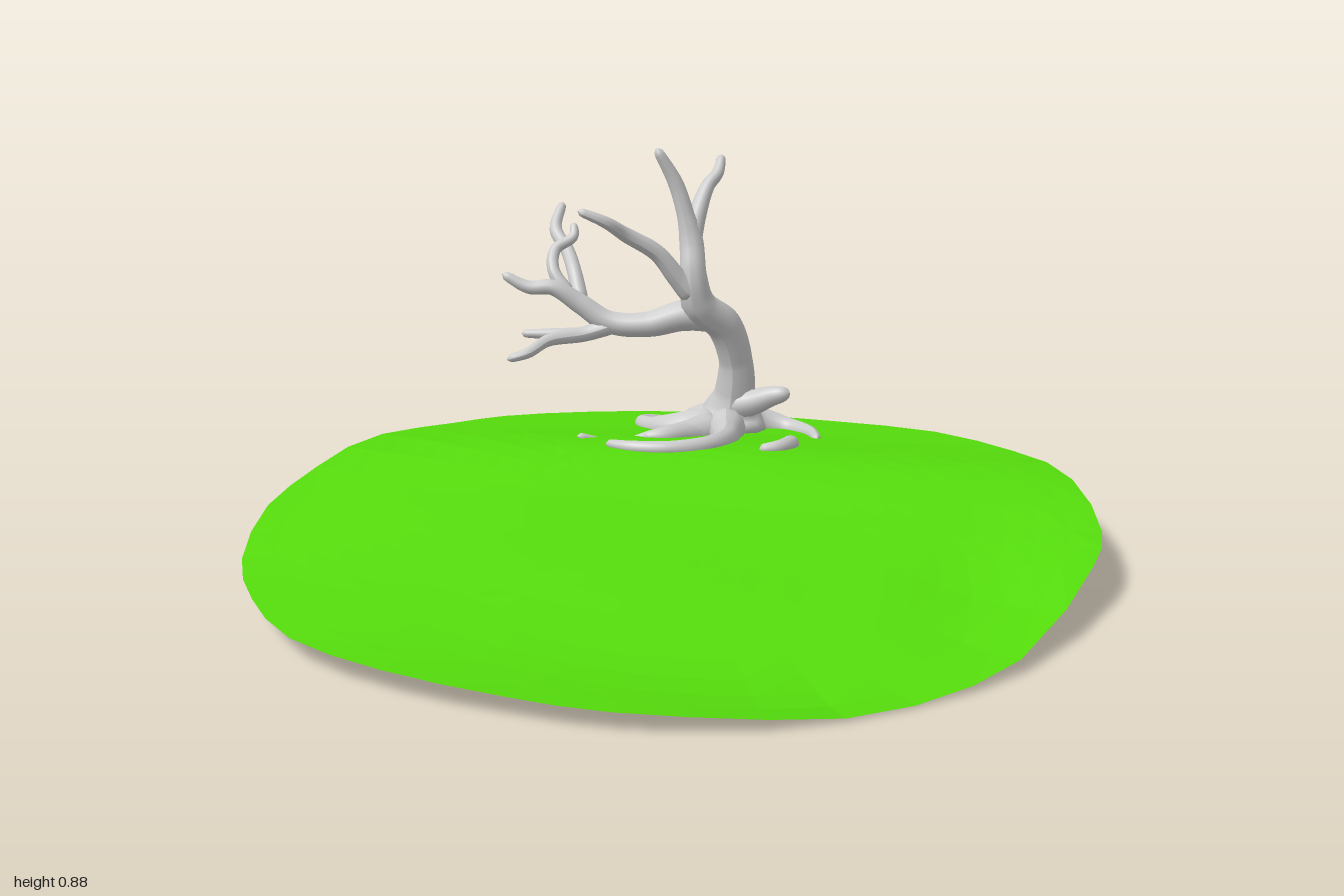
import * as THREE from 'three';

const bark = new THREE.MeshStandardMaterial({ color: 0xcccccc, side: THREE.DoubleSide });
const grass = new THREE.MeshStandardMaterial({ color: 0x55dc0c, flatShading: true, side: THREE.DoubleSide });

// Ground relief: heights on a coarse grid, smoothly interpolated
const gridX = [-0.9, -0.4, 0, 0.5, 0.72, 0.92];
const gridZ = [-1, -0.7, -0.35, 0, 0.4, 0.8, 1];
const heights = [
  [0.11, 0.11, 0.11, 0.11, 0.11, 0.11],
  [0.12, 0.125, 0.13, 0.125, 0.12, 0.12],
  [0.14, 0.16, 0.165, 0.155, 0.15, 0.14],
  [0.10, 0.12, 0.12, 0.115, 0.105, 0.11],
  [0.05, 0.08, 0.085, 0.05, 0.03, 0.075],
  [0.04, 0.05, 0.03, 0.0, 0.015, 0.04],
  [0.04, 0.05, 0.04, 0.03, 0.03, 0.03],
];
const interpolate = (xs, ys, t) => new THREE.CubicInterpolant(xs, ys, 1).evaluate(t)[0];
const groundHeight = (x, z) =>
  Math.max(0, interpolate(gridZ, heights.map((row) => interpolate(gridX, row, x)), z));

// Irregular rim of the ground, as x, z
const rim = [
  [-0.1, -1], [0.05, -0.985], [0.25, -0.95], [0.53, -0.87], [0.74, -0.67], [0.88, -0.34], [0.94, -0.02],
  [0.92, 0.17], [0.78, 0.57], [0.6, 0.78], [0.36, 0.94], [0.1, 1], [-0.1, 0.98], [-0.35, 0.92],
  [-0.58, 0.8], [-0.75, 0.6], [-0.88, 0.37], [-0.95, 0.08], [-0.93, -0.16], [-0.87, -0.45],
  [-0.75, -0.68], [-0.65, -0.81], [-0.45, -0.92], [-0.25, -0.98],
];

function createGround() {
  const rings = 14, sides = rim.length * 2;
  const curve = new THREE.CatmullRomCurve3(rim.map(([x, z]) => new THREE.Vector3(x, 0, z)), true);
  const edge = Array.from({ length: sides }, (_, j) => curve.getPoint(j / sides));
  const positions = [], index = [];
  for (let i = 0; i <= rings; i++) {
    for (const p of edge) {
      const x = (p.x * i) / rings, z = (p.z * i) / rings;
      positions.push(x, groundHeight(x, z), z);
    }
  }
  for (let i = 0; i < rings; i++) {
    for (let j = 0; j < sides; j++) {
      const k = (j + 1) % sides;
      const a = i * sides + j, b = i * sides + k, c = a + sides, d = b + sides;
      index.push(a, d, c);
      if (i > 0) index.push(a, b, d);
    }
  }
  const geometry = new THREE.BufferGeometry();
  geometry.setAttribute('position', new THREE.Float32BufferAttribute(positions, 3));
  geometry.setIndex(index);
  geometry.computeVertexNormals();
  const mesh = new THREE.Mesh(geometry, grass);
  mesh.name = 'ground';
  return mesh;
}

// Tapering limb through points [x, y, z, radius], rounded at both ends
function limb(name, points) {
  const curve = new THREE.CatmullRomCurve3(points.map(([x, y, z]) => new THREE.Vector3(x, y, z)));
  const segments = points.length * 7, sides = 12;
  const geometry = new THREE.TubeGeometry(curve, segments, 1, sides);
  const length = curve.getLength();
  const pos = geometry.attributes.position, v = new THREE.Vector3();
  const endRound = (distance, r) => {
    const s = Math.min(1, distance / r);
    return Math.sqrt(1 - (1 - s) ** 2);
  };
  for (let i = 0; i <= segments; i++) {
    const u = i / segments, t = curve.getUtoTmapping(u) * (points.length - 1);
    const k = Math.min(Math.floor(t), points.length - 2);
    let r = THREE.MathUtils.lerp(points[k][3], points[k + 1][3], t - k);
    r *= endRound((1 - u) * length, r * 1.5) * endRound(u * length, points[0][3]);
    const centre = curve.getPointAt(u);
    for (let j = 0; j <= sides; j++) {
      const n = i * (sides + 1) + j;
      v.fromBufferAttribute(pos, n).sub(centre).multiplyScalar(r).add(centre);
      pos.setXYZ(n, v.x, v.y, v.z);
    }
  }
  geometry.computeVertexNormals();
  const mesh = new THREE.Mesh(geometry, bark);
  mesh.name = name;
  return mesh;
}

// Root following the ground: points [x, z, lift above ground, radius]
const root = (points) =>
  limb('root', points.map(([x, z, lift, r]) => [x, groundHeight(x, z) + lift, z, r]));

export function createModel() {
  const model = new THREE.Group();
  model.add(createGround());

  const tree = new THREE.Group();
  tree.name = 'tree';
  model.add(tree);

  // Leaning trunk with a flared foot
  tree.add(limb('trunk', [
    [-0.01, 0.1, -0.75, 0.07], [-0.005, 0.14, -0.75, 0.105], [0, 0.175, -0.75, 0.08], [0.01, 0.23, -0.735, 0.055],
    [0.015, 0.32, -0.712, 0.045], [-0.01, 0.42, -0.67, 0.046], [-0.065, 0.48, -0.615, 0.045], [-0.075, 0.56, -0.595, 0.034],
    [-0.085, 0.64, -0.615, 0.032], [-0.1, 0.71, -0.615, 0.023], [-0.125, 0.79, -0.61, 0.02], [-0.17, 0.88, -0.585, 0.012],
  ]));

  // Upper branches
  tree.add(limb('upperBranch', [
    [-0.085, 0.63, -0.61, 0.026], [-0.075, 0.71, -0.645, 0.024], [-0.055, 0.78, -0.685, 0.018],
    [-0.035, 0.81, -0.71, 0.016], [-0.03, 0.855, -0.74, 0.011],
  ]));
  tree.add(limb('upperBranch', [
    [-0.07, 0.5, -0.6, 0.035], [-0.11, 0.55, -0.575, 0.026], [-0.16, 0.62, -0.545, 0.022],
    [-0.23, 0.67, -0.5, 0.019], [-0.27, 0.705, -0.455, 0.015], [-0.335, 0.735, -0.43, 0.01],
  ]));

  // Long side branch and its twigs
  tree.add(limb('sideBranch', [
    [-0.01, 0.44, -0.655, 0.04], [-0.1, 0.45, -0.63, 0.042], [-0.2, 0.425, -0.61, 0.033], [-0.3, 0.43, -0.6, 0.03],
    [-0.37, 0.475, -0.59, 0.027], [-0.44, 0.52, -0.57, 0.021], [-0.5, 0.52, -0.56, 0.018], [-0.57, 0.555, -0.55, 0.011],
  ]));
  const twigs = [
    [[-0.37, 0.475, -0.59, 0.022], [-0.4, 0.55, -0.64, 0.019], [-0.435, 0.6, -0.7, 0.018],
      [-0.48, 0.65, -0.75, 0.017], [-0.475, 0.715, -0.81, 0.011]],
    [[-0.4, 0.5, -0.585, 0.02], [-0.445, 0.56, -0.6, 0.016], [-0.45, 0.61, -0.64, 0.015], [-0.41, 0.64, -0.67, 0.013], [-0.415, 0.675, -0.69, 0.01]],
    [[-0.28, 0.425, -0.6, 0.024], [-0.36, 0.4, -0.575, 0.02], [-0.44, 0.39, -0.52, 0.016],
      [-0.48, 0.365, -0.47, 0.014], [-0.53, 0.35, -0.45, 0.01]],
    [[-0.36, 0.4, -0.575, 0.018], [-0.44, 0.4, -0.56, 0.015], [-0.52, 0.4, -0.55, 0.01]],
    [[-0.26, 0.425, -0.6, 0.02], [-0.33, 0.4, -0.65, 0.017], [-0.37, 0.38, -0.71, 0.014], [-0.375, 0.365, -0.77, 0.01]],
  ];
  for (const points of twigs) tree.add(limb('twig', points));

  // Broad blunt stub at the foot, two merged lobes
  for (const points of [
    [[-0.02, 0.19, -0.735, 0.045], [0.06, 0.21, -0.705, 0.034], [0.12, 0.235, -0.685, 0.025], [0.165, 0.247, -0.675, 0.02]],
    [[-0.02, 0.185, -0.75, 0.045], [0.05, 0.205, -0.735, 0.034], [0.1, 0.225, -0.725, 0.026], [0.15, 0.238, -0.71, 0.02]],
  ]) tree.add(limb('stub', points));

  // Curling roots
  const roots = [
    [[0, -0.75, 0.02, 0.06], [0.06, -0.81, 0.012, 0.042], [0.14, -0.81, 0, 0.028], [0.205, -0.75, 0, 0.02], [0.24, -0.655, 0, 0.011]],
    [[-0.01, -0.74, 0.015, 0.07], [-0.09, -0.78, 0.008, 0.05], [-0.115, -0.855, 0, 0.032], [-0.065, -0.905, -0.01, 0.024],
      [0.01, -0.92, -0.015, 0.019], [0.09, -0.875, -0.02, 0.012]],
    [[-0.02, -0.72, 0.01, 0.06], [-0.12, -0.7, 0.005, 0.045], [-0.21, -0.73, 0, 0.028], [-0.255, -0.8, 0, 0.021],
      [-0.23, -0.86, -0.005, 0.017], [-0.165, -0.885, -0.01, 0.011]],
    [[-0.01, -0.7, 0.02, 0.065], [0.01, -0.6, 0.01, 0.042], [0.025, -0.49, 0.003, 0.029], [0, -0.39, 0.003, 0.023],
      [-0.08, -0.335, 0.004, 0.019], [-0.17, -0.33, 0.004, 0.017], [-0.25, -0.36, 0.004, 0.011]],
    [[-0.02, -0.67, 0.01, 0.055], [-0.09, -0.59, 0.005, 0.033], [-0.16, -0.53, -0.004, 0.023], [-0.23, -0.525, -0.022, 0.018],
      [-0.29, -0.49, -0.018, 0.015], [-0.345, -0.44, 0.005, 0.011]],
    [[-0.06, -0.62, 0, 0.035], [-0.13, -0.52, 0.003, 0.024], [-0.19, -0.5, 0, 0.012]],
    // Far tip of a buried root
    [[0.13, -0.39, 0, 0.013], [0.175, -0.41, 0.005, 0.018], [0.195, -0.47, 0.005, 0.022], [0.185, -0.535, 0, 0.017]],
  ];
  for (const points of roots) tree.add(root(points));

  return model;
}
